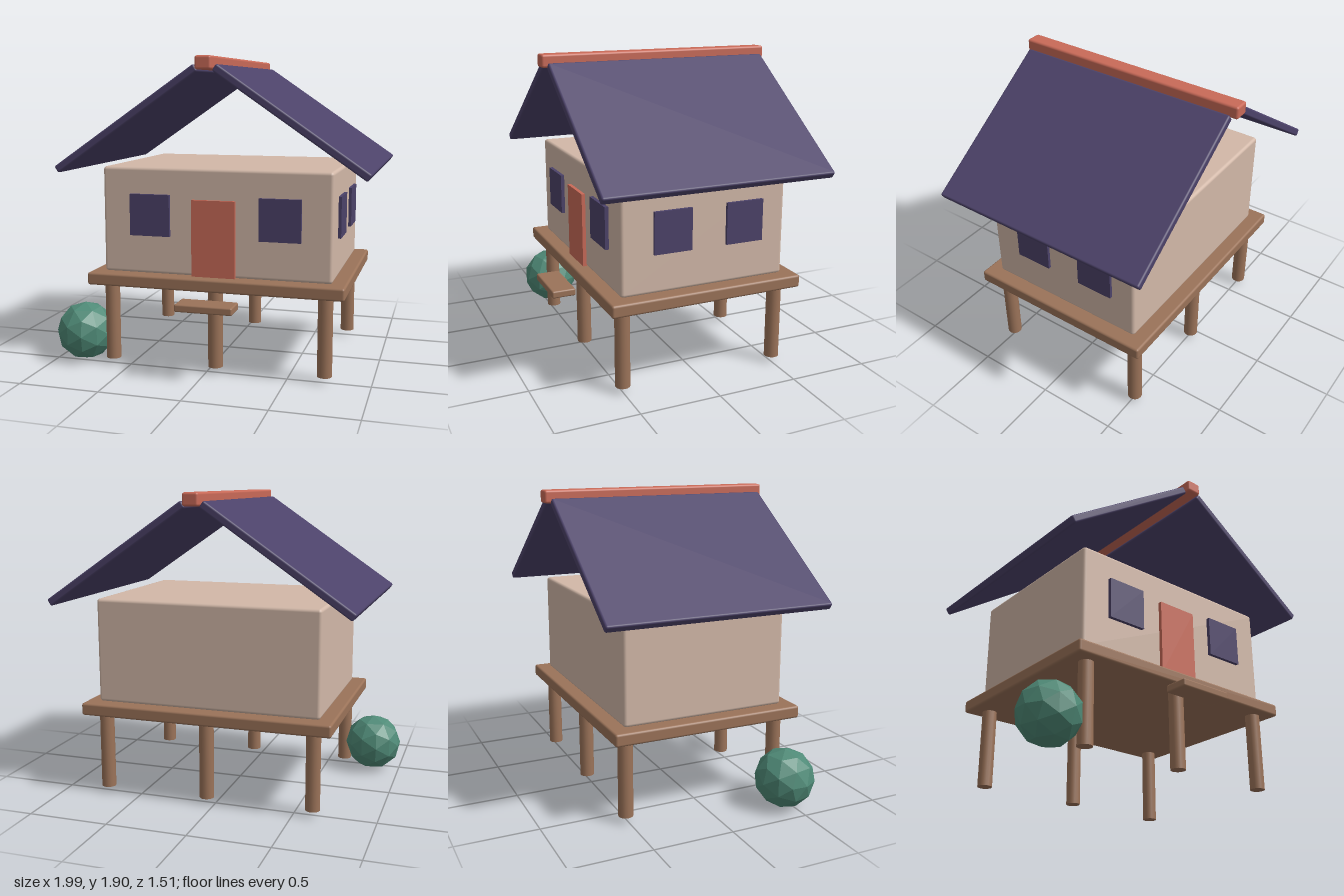
import * as THREE from 'three';
import { RoundedBoxGeometry } from 'three/addons/geometries/RoundedBoxGeometry.js';

const mat = (name, color, extra = {}) => {
  const m = new THREE.MeshStandardMaterial({ color, ...extra });
  m.name = name;
  return m;
};

export function createModel() {
  const plaster = mat('plaster', 0xd2b8a8);
  const indigo = mat('indigo', 0x4c4269);
  const terracotta = mat('terracotta', 0xc96a58);
  const wood = mat('wood', 0x9b7359);
  const leaf = mat('leaf', 0x4f8a77, { flatShading: true });

  const group = new THREE.Group();
  const cx = 0.054, cz = -0.006; // centre of the hut

  const add = (name, geometry, material, x, y, z) => {
    const mesh = new THREE.Mesh(geometry, material);
    mesh.name = name;
    mesh.position.set(x, y, z);
    group.add(mesh);
    return mesh;
  };
  const rounded = (w, h, d, r) => new RoundedBoxGeometry(w, h, d, 2, r);

  // Raised platform on six round posts
  add('deck', rounded(1.586, 0.077, 1.216, 0.014), wood, cx, 0.561, cz);
  for (const x of [-0.67, 0, 0.67]) {
    for (const z of [-0.503, 0.503]) {
      add('post', new THREE.CylinderGeometry(0.045, 0.045, 0.49, 16), wood, cx + x, 0.285, cz + z);
    }
  }

  // Walls
  add('walls', rounded(1.42, 0.652, 1.046, 0.02), plaster, cx, 0.925, cz);

  // Door and front windows
  const frontZ = 0.527;
  add('door', new THREE.BoxGeometry(0.268, 0.464, 0.025), terracotta, 0.05, 0.833, frontZ);
  for (const x of [-0.35, 0.455]) {
    add('frontWindow', new THREE.BoxGeometry(0.252, 0.254, 0.025), indigo, x, 0.962, frontZ);
  }

  // Windows on the left wall only
  for (const z of [0.202, -0.257]) {
    add('sideWindow', new THREE.BoxGeometry(0.025, 0.252, 0.236), indigo, 0.77, 0.962, z);
  }

  // Two sloping roof slabs and the ridge beam
  for (const side of [-1, 1]) {
    const slab = add('roofSlab', rounded(1.062, 0.048, 1.425, 0.012), indigo, cx + side * 0.492, 1.54, cz);
    slab.rotation.z = -side * 0.6;
  }
  add('ridgeBeam', rounded(0.097, 0.078, 1.488, 0.014), terracotta, 0.052, 1.865, -0.008);

  // Floating step before the door
  add('step', rounded(0.35, 0.046, 0.15, 0.01), wood, 0.052, 0.458, 0.68);

  // Faceted bush
  const bush = add('bush', new THREE.IcosahedronGeometry(0.185, 1), leaf, -0.822, 0.187, 0.457);
  bush.rotation.y = 0.25;

  return group;
}
